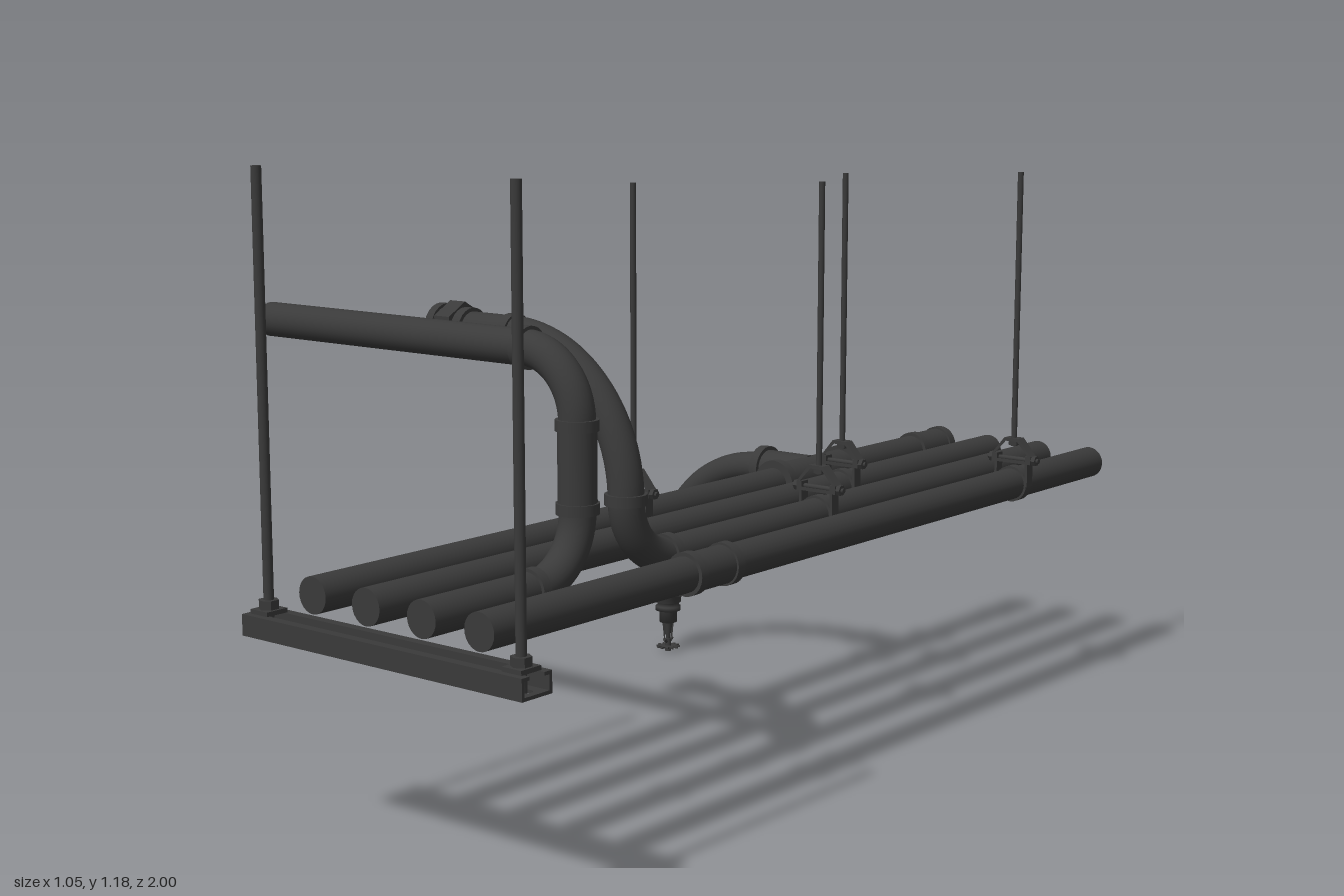
import * as THREE from 'three';

const V = (x, y, z) => new THREE.Vector3(x, y, z);
const UP = V(0, 1, 0);
const PIPE_Y = 0.459, R = 0.033;
const steel = new THREE.MeshStandardMaterial({ color: 0x3a3a3a });

// Quarter-circle centreline from start to end around a corner point
class Elbow extends THREE.Curve {
  constructor(start, corner, end) {
    super();
    this.centre = start.clone().add(end).sub(corner);
    this.a = start.clone().sub(this.centre);
    this.b = end.clone().sub(this.centre);
  }
  getPoint(t, target = new THREE.Vector3()) {
    const w = t * Math.PI / 2;
    return target.copy(this.centre).addScaledVector(this.a, Math.cos(w)).addScaledVector(this.b, Math.sin(w));
  }
}

function add(parent, name, geometry, x = 0, y = 0, z = 0) {
  const mesh = new THREE.Mesh(geometry, steel);
  mesh.name = name;
  mesh.position.set(x, y, z);
  parent.add(mesh);
  return mesh;
}

// Straight round (or many-sided) bar between two points
function rod(parent, name, a, b, r, sides = 24, r2 = r) {
  const d = b.clone().sub(a);
  let geo = new THREE.CylinderGeometry(r2, r, d.length(), sides);
  if (sides <= 8) {
    geo = geo.toNonIndexed();
    geo.computeVertexNormals();
  }
  const mesh = add(parent, name, geo);
  mesh.position.copy(a).addScaledVector(d, 0.5);
  mesh.quaternion.setFromUnitVectors(UP, d.normalize());
  return mesh;
}

function bend(parent, name, start, corner, end, r = R) {
  return add(parent, name, new THREE.TubeGeometry(new Elbow(start, corner, end), 28, r, 24, false));
}

// Collar centred on a point, along a unit direction
function collar(parent, p, dir, r = 0.039, len = 0.02, sides = 24) {
  return rod(parent, 'collar', p.clone().addScaledVector(dir, -len / 2), p.clone().addScaledVector(dir, len / 2), r, sides);
}

// Sleeve with a raised collar at each end
function coupling(parent, name, a, b, r = 0.036, rim = 0.04) {
  const g = new THREE.Group();
  g.name = name;
  parent.add(g);
  const dir = b.clone().sub(a).normalize();
  rod(g, 'sleeve', a, b, r);
  collar(g, a.clone().addScaledVector(dir, 0.01), dir, rim);
  collar(g, b.clone().addScaledVector(dir, -0.01), dir, rim);
  return g;
}

// Clevis hanger: band under the pipe, yoke, cross bolt and threaded rod
function hanger(parent, x, z) {
  const g = new THREE.Group();
  g.name = 'hanger';
  g.position.set(x, PIPE_Y, z);
  parent.add(g);
  rod(g, 'band', V(0, 0, -0.011), V(0, 0, 0.011), 0.038);
  const outline = (o) => [[-0.047 + o, 0.045 + o], [-0.047 + o, 0.062], [-0.017 + o / 2, 0.098 - o],
    [0.017 - o / 2, 0.098 - o], [0.047 - o, 0.062], [0.047 - o, 0.045 + o]].map(([u, v]) => new THREE.Vector2(u, v));
  const yoke = new THREE.Shape(outline(0));
  yoke.holes.push(new THREE.Path(outline(0.007)));
  add(g, 'yoke', new THREE.ExtrudeGeometry(yoke, { depth: 0.022, bevelEnabled: false }), 0, 0, -0.011);
  rod(g, 'crossBolt', V(-0.061, 0.053, 0), V(0.061, 0.053, 0), 0.005, 12);
  for (const s of [-1, 1]) {
    add(g, 'strapEar', new THREE.BoxGeometry(0.006, 0.066, 0.022), s * 0.037, 0.03, 0);
    rod(g, 'boltNut', V(s * 0.047, 0.053, 0), V(s * 0.056, 0.053, 0), 0.011, 6);
  }
  rod(g, 'rodNut', V(0, 0.082, 0), V(0, 0.091, 0), 0.011, 6);
  rod(g, 'hangerRod', V(0, 0.08, 0), V(0, 0.656, 0), 0.006, 12);
}

// Slotted strut channel, open along the top, hung on two rods
function trapeze(parent) {
  const g = new THREE.Group();
  g.name = 'trapeze';
  parent.add(g);
  const x0 = -0.13, len = 0.653, t = 0.006, h = 0.038, y = 0.377, z = 0.965;
  const mid = x0 + len / 2;
  for (const s of [-1, 1]) {
    add(g, 'channelSide', new THREE.BoxGeometry(len, h, t), mid, y + h / 2, z + s * 0.032);
    add(g, 'channelLip', new THREE.BoxGeometry(len, t, 0.018), mid, y + h - t / 2, z + s * 0.026);
  }
  const base = new THREE.Shape([[0, -0.035], [len, -0.035], [len, 0.035], [0, 0.035]].map(p => new THREE.Vector2(...p)));
  for (let i = 0; i < 10; i++) {
    const c = 0.034 + i * 0.065, slot = new THREE.Path();
    slot.absarc(c - 0.01, 0, 0.011, Math.PI / 2, Math.PI * 1.5);
    slot.absarc(c + 0.01, 0, 0.011, -Math.PI / 2, Math.PI / 2);
    base.holes.push(slot);
  }
  const plate = add(g, 'channelBase', new THREE.ExtrudeGeometry(base, { depth: t, bevelEnabled: false, curveSegments: 8 }), x0, y, z);
  plate.rotation.x = -Math.PI / 2;
  for (const x of [-0.1, 0.49]) {
    rod(g, 'supportRod', V(x, y, z), V(x, 1.18, z), 0.009, 16);
    add(g, 'washerPlate', new THREE.BoxGeometry(0.042, 0.008, 0.046), x, y + h + 0.004, z);
    rod(g, 'rodNut', V(x, y + h + 0.008, z), V(x, y + h + 0.024, z), 0.018, 6);
  }
}

// Downward nozzle with ribbed adapter, frame arms and toothed deflector
function nozzle(parent, x, z) {
  const g = new THREE.Group();
  g.name = 'nozzle';
  g.position.set(x, 0, z);
  parent.add(g);
  const steps = [[0, 0.2], [0.044, 0.2], [0.044, 0.186], [0.037, 0.186], [0.037, 0.135], [0.03, 0.133], [0.03, 0.118],
    [0.025, 0.116], [0.025, 0.108], [0.029, 0.107], [0.029, 0.098], [0.02, 0.096], [0.02, 0.07], [0, 0.068]];
  const body = new THREE.LatheGeometry(steps.reverse().map(p => new THREE.Vector2(...p)), 24);
  add(g, 'adapter', body);
  for (let i = 0; i < 8; i++) {
    const a = i * Math.PI / 4;
    const rib = add(g, 'rib', new THREE.BoxGeometry(0.01, 0.055, 0.013), Math.cos(a) * 0.037, 0.163, Math.sin(a) * 0.037);
    rib.rotation.y = -a;
  }
  for (const s of [-1, 1]) {
    rod(g, 'frameArm', V(0, 0.072, s * 0.015), V(0, 0.03, s * 0.013), 0.012, 4, 0.004).scale.set(0.4, 1, 0.4);
    rod(g, 'frameFoot', V(0, 0.03, s * 0.014), V(0, 0.02, 0), 0.004, 8);
  }
  rod(g, 'taper', V(0, 0.03, 0), V(0, 0.07, 0), 0.004, 16, 0.011);
  rod(g, 'deflectorHub', V(0, 0.001, 0), V(0, 0.03, 0), 0.007, 12);
  const star = new THREE.Shape(Array.from({ length: 48 }, (_, i) => {
    const a = i * Math.PI / 24, r = i % 4 < 2 ? 0.027 : 0.018;
    return new THREE.Vector2(Math.cos(a) * r, Math.sin(a) * r);
  }));
  add(g, 'deflector', new THREE.ExtrudeGeometry(star, { depth: 0.004, bevelEnabled: false }), 0, 0.01, 0).rotation.x = -Math.PI / 2;
}

export function createModel() {
  const model = new THREE.Group();
  model.name = 'pipeRack';
  const X = V(1, 0, 0), Y = UP, Z = V(0, 0, 1);
  const xs = [0, 0.13, 0.26, 0.39];
  const front = 0.955;

  // Main runs; the third is broken by two risers
  for (const x of [xs[0], xs[1], xs[3]]) rod(model, 'mainPipe', V(x, PIPE_Y, -1), V(x, PIPE_Y, front), R);
  rod(model, 'mainPipe', V(0.26, PIPE_Y, -1), V(0.26, PIPE_Y, 0.325), R);
  rod(model, 'mainPipe', V(0.26, PIPE_Y, 0.69), V(0.26, PIPE_Y, front), R);
  coupling(model, 'endCoupling', V(0, PIPE_Y, -1), V(0, PIPE_Y, -0.875));
  coupling(model, 'midCoupling', V(0.39, PIPE_Y, 0.31), V(0.39, PIPE_Y, 0.435));

  // Tee with a drop to the nozzle
  const tz = -0.48, ty = PIPE_Y + 0.003;
  const tee = coupling(model, 'tee', V(0, PIPE_Y, tz - 0.13), V(0, PIPE_Y, tz + 0.13), 0.04, 0.049);
  rod(tee, 'teeBranch', V(-0.13, ty, tz), V(0, ty, tz), 0.039);
  collar(tee, V(-0.12, ty, tz), X, 0.047);
  bend(model, 'dropBend', V(-0.13, ty, tz), V(-0.395, ty, tz), V(-0.395, 0.197, tz), 0.031);
  nozzle(model, -0.395, tz);

  // Rear riser: tight elbow up, wide bend to the right, union nut at the end
  const top = 0.855, za = 0.44, zb = 0.57;
  bend(model, 'riserElbow', V(0.26, PIPE_Y, 0.32), V(0.26, PIPE_Y, za), V(0.26, 0.579, za));
  collar(model, V(0.26, PIPE_Y, 0.325), Z);
  collar(model, V(0.26, 0.579, za), Y);
  bend(model, 'wideBend', V(0.26, 0.579, za), V(0.26, top, za), V(-0.01, top, za));
  collar(model, V(-0.01, top, za), X, 0.037);
  rod(model, 'shortPipe', V(-0.19, top, za), V(-0.01, top, za), R);
  const union = new THREE.Group();
  union.name = 'union';
  model.add(union);
  collar(union, V(-0.187, top, za), X, 0.044, 0.018);
  collar(union, V(-0.174, top, za), X, 0.039, 0.014);
  collar(union, V(-0.122, top, za), X, 0.04, 0.02);
  const nut = rod(union, 'hexNut', V(-0.17, top, za), V(-0.132, top, za), 0.05, 6);
  // turn a corner of the hexagon upward
  nut.rotateY(Math.PI / 2);

  // Front riser: elbow, coupling, elbow, long side pipe
  bend(model, 'riserElbow', V(0.26, PIPE_Y, 0.69), V(0.26, PIPE_Y, zb), V(0.26, 0.579, zb));
  collar(model, V(0.26, PIPE_Y, 0.69), Z);
  coupling(model, 'riserCoupling', V(0.26, 0.573, zb), V(0.26, 0.74, zb), 0.035, 0.039);
  bend(model, 'topElbow', V(0.26, 0.735, zb), V(0.26, top, zb), V(0.14, top, zb));
  collar(model, V(0.143, top, zb), X);
  rod(model, 'sidePipe', V(-0.525, top, zb), V(0.143, top, zb), R);

  // Supports
  [0.11, -0.415, -0.15, -0.675].forEach((z, i) => hanger(model, xs[i], z));
  trapeze(model);
  return model;
}
